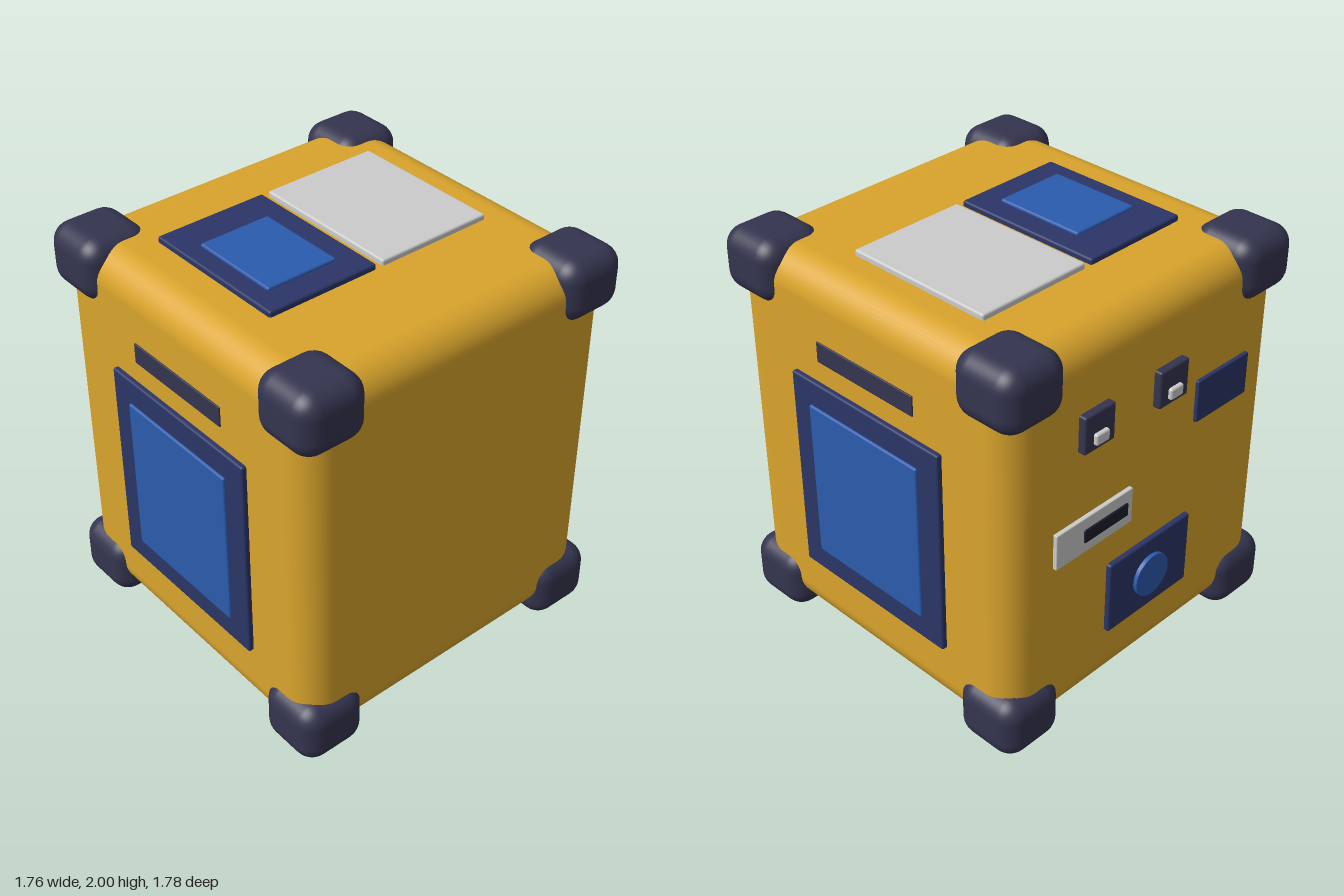
import * as THREE from 'three';
import { RoundedBoxGeometry } from 'three/addons/geometries/RoundedBoxGeometry.js';

const paint = (color, roughness = 1) => new THREE.MeshStandardMaterial({ color });
const yellow = paint(0xd9a42c);
const rubber = paint(0x34344f);
const navy = paint(0x2b3566);
const blue = paint(0x2b5bad);
const grey = paint(0xcccccc);
const dark = paint(0x1d1d2c);

// Rounded box given by its [min, max] range on each axis
function block(name, [x0, x1], [y0, y1], [z0, z1], material, radius = 0.01, segments = 2) {
  const geometry = new RoundedBoxGeometry(x1 - x0, y1 - y0, z1 - z0, segments, radius);
  const mesh = new THREE.Mesh(geometry, material);
  mesh.name = name;
  mesh.position.set((x0 + x1) / 2, (y0 + y1) / 2, (z0 + z1) / 2);
  return mesh;
}

export function createModel() {
  const model = new THREE.Group();
  model.name = 'cubeCase';

  model.add(block('body', [-0.84, 0.84], [0.06, 1.96], [-0.83, 0.85], yellow, 0.15, 6));

  // Rubber bumpers on the eight corners
  for (const x of [[-0.88, -0.54], [0.54, 0.88]])
    for (const y of [[0, 0.31], [1.69, 1.99]])
      for (const z of [[-0.87, -0.525], [0.55, 0.89]])
        model.add(block('cornerBumper', x, y, z, rubber, 0.095, 4));

  // Top: small screen and plain cover plate
  model.add(
    block('topScreenFrame', [-0.58, -0.02], [1.93, 1.987], [-0.45, 0.31], navy),
    block('topScreen', [-0.49, -0.13], [1.95, 2], [-0.27, 0.185], blue),
    block('topPlate', [0.015, 0.605], [1.93, 1.987], [-0.45, 0.31], grey),
  );

  // Both sides: framed screen with a vent slot above
  for (const side of [-1, 1]) {
    const span = (a, b) => (side > 0 ? [a, b] : [-b, -a]);
    model.add(
      block('sideScreenFrame', span(0.8, 0.865), [0.405, 1.44], [-0.445, 0.465], navy),
      block('sideScreen', span(0.82, 0.877), [0.525, 1.32], [-0.325, 0.35], blue),
      block('sideSlot', span(0.81, 0.847), [1.545, 1.645], [-0.285, 0.305], rubber, 0.005),
    );
  }

  // Back: two switches with small pins
  for (const x of [-0.093, 0.365]) {
    model.add(
      block('switchHousing', [x - 0.09, x + 0.09], [1.445, 1.625], [-0.867, -0.8], rubber),
      block('switchPin', [x - 0.04, x + 0.04], [1.475, 1.53], [-0.886, -0.83], grey),
    );
  }

  // Back: plate, slotted reader and knob panel
  model.add(
    block('backPlate', [-0.625, -0.285], [1.235, 1.445], [-0.848, -0.8], navy, 0.005),
    block('readerPlate', [0.12, 0.59], [0.925, 1.105], [-0.85, -0.8], grey, 0.005),
    block('readerSlot', [0.155, 0.425], [0.98, 1.045], [-0.858, -0.82], dark, 0.004),
    block('knobPanel', [-0.28, 0.25], [0.375, 0.75], [-0.855, -0.8], navy),
  );
  const knob = new THREE.Mesh(new THREE.CylinderGeometry(0.107, 0.107, 0.05, 32), blue);
  knob.name = 'knob';
  knob.rotation.x = Math.PI / 2;
  knob.position.set(-0.015, 0.56, -0.849);
  model.add(knob);

  return model;
}
